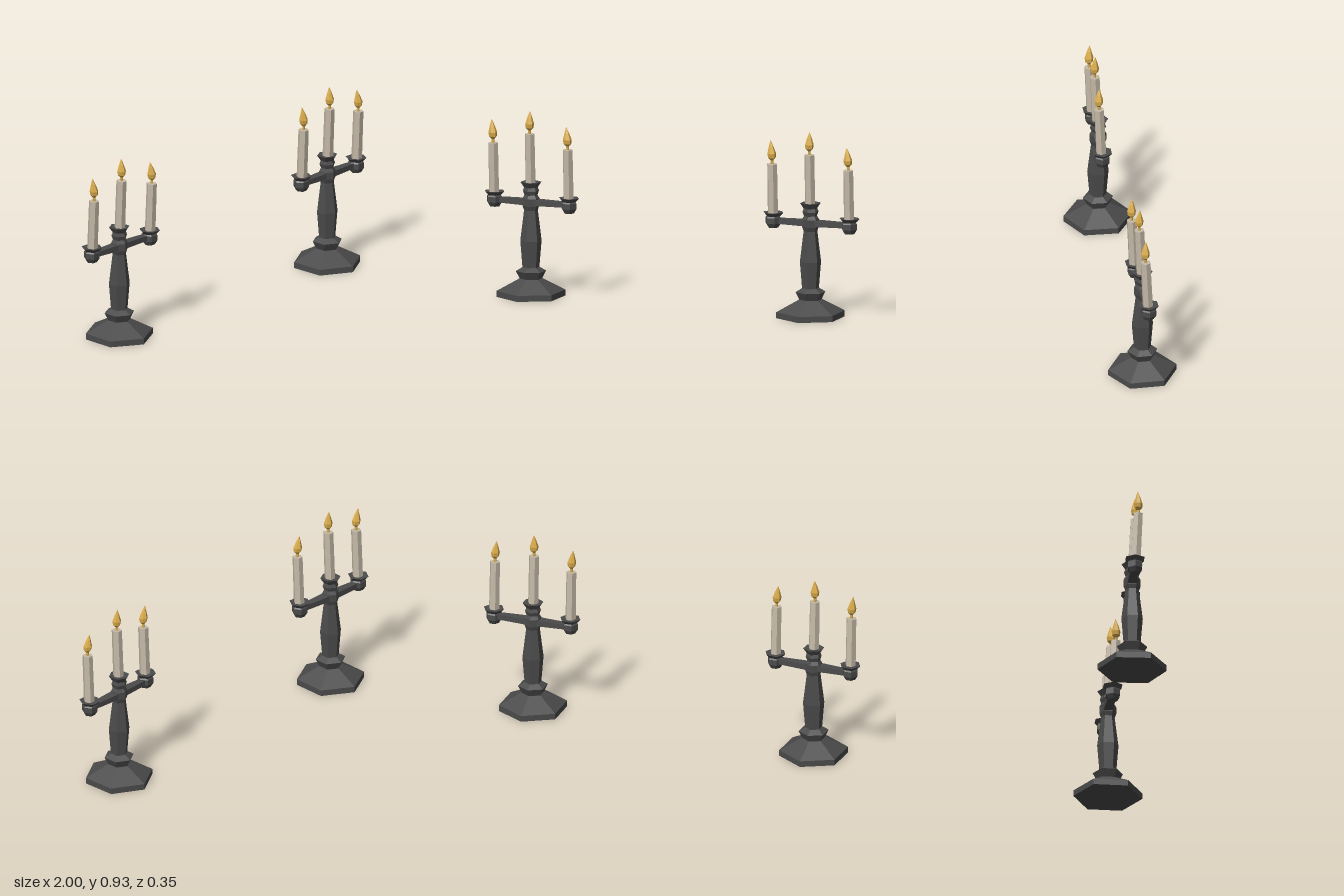
import * as THREE from 'three';

const iron = new THREE.MeshStandardMaterial({ color: 0x4b4b4b });
iron.name = 'dark iron';
const wax = new THREE.MeshStandardMaterial({ color: 0xc4b9a7 });
wax.name = 'candle wax';
const fire = new THREE.MeshStandardMaterial({ color: 0xdcae4c });
fire.name = 'flame gold';

// Faceted normals without sharing vertices
function facet(geometry) {
  const g = geometry.toNonIndexed();
  g.computeVertexNormals();
  return g;
}

// Six-sided turned part; corners point to z, or to x when turned
function turned(name, profile, material, turnedToX = false) {
  const pts = profile.map(([r, y]) => new THREE.Vector2(r, y));
  const g = new THREE.LatheGeometry(pts, 6, turnedToX ? Math.PI / 6 : 0);
  const mesh = new THREE.Mesh(facet(g), material);
  mesh.name = name;
  return mesh;
}

// Teardrop flame on a thin wick, its tip bent sideways
function flame(bend, height) {
  const pts = [[0, -0.005], [0.007, -0.005], [0.007, 0.018], [0.019, 0.03], [0.022, 0.05], [0.012, 0.082], [0, 0.113]]
    .map(([r, y]) => new THREE.Vector2(r, y * height / 0.113));
  const g = new THREE.LatheGeometry(pts, 6);
  const p = g.attributes.position;
  for (let i = 0; i < p.count; i++) {
    const t = Math.max(0, p.getY(i) / height);
    p.setX(i, p.getX(i) + bend * t * t);
    p.setZ(i, p.getZ(i) - 0.008 * t * t);
  }
  const mesh = new THREE.Mesh(facet(g), fire);
  mesh.name = 'flame';
  return mesh;
}

// Candle and flame standing at the origin, leaning slightly forward
function candle(height, bend, flameHeight) {
  const group = new THREE.Group();
  group.name = 'candle';
  const r = 0.027;
  group.add(turned('candleStick', [[0, 0], [r, 0], [r * 0.96, height], [0, height]], wax, true));
  const f = flame(bend, flameHeight);
  f.position.y = height;
  group.add(f);
  group.rotation.x = 0.045;
  return group;
}

// Arm from the hub to a side cup, narrowing outward
function arm(length) {
  const len = Math.abs(length);
  const g = new THREE.BoxGeometry(len, 0.03, 0.052);
  const p = g.attributes.position;
  for (let i = 0; i < p.count; i++) {
    const outer = p.getX(i) * Math.sign(length) > 0;
    if (outer) {
      p.setZ(i, p.getZ(i) * 0.6);
      p.setY(i, p.getY(i) * 0.85);
    }
  }
  const mesh = new THREE.Mesh(facet(g), iron);
  mesh.name = 'arm';
  mesh.position.set(length / 2, 0.473, 0);
  return mesh;
}

function candelabra() {
  const group = new THREE.Group();

  // Foot, knop, stem, hub and centre cup
  group.add(turned('foot', [[0, 0], [0.171, 0], [0.171, 0.03], [0.058, 0.09], [0, 0.09]], iron));
  group.add(turned('knop', [[0.055, 0.088], [0.075, 0.128], [0.043, 0.147], [0, 0.147]], iron));
  group.add(turned('stem', [[0.042, 0.145], [0.053, 0.28], [0.034, 0.435]], iron));
  group.add(turned('hub', [[0.034, 0.433], [0.042, 0.455], [0.042, 0.492], [0.032, 0.51], [0, 0.51]], iron));
  group.add(turned('centreCup', [[0.032, 0.508], [0.04, 0.53], [0.034, 0.547], [0.052, 0.574], [0, 0.568]], iron));
  const middle = candle(0.255, 0, 0.114);
  middle.position.set(0, 0.563, 0.004);
  group.add(middle);

  // Side arms, cups and candles
  for (const [x, lift, flameHeight] of [[-0.195, 0.003, 0.119], [0.207, -0.003, 0.113]]) {
    group.add(arm(x));
    const holder = new THREE.Group();
    holder.name = 'sideHolder';
    holder.add(turned('cup', [
      [0, 0.436], [0.026, 0.436], [0.04, 0.458], [0.04, 0.486], [0.035, 0.493], [0.053, 0.512], [0, 0.507],
    ], iron, true));
    const c = candle(0.257, -0.01, flameHeight);
    c.position.set(0, 0.5, 0.004);
    holder.add(c);
    holder.position.set(x, lift, 0.004);
    group.add(holder);
  }
  return group;
}

export function createModel() {
  const model = new THREE.Group();
  model.name = 'candelabraPair';
  for (const [name, x, z, turn] of [
    ['rightCandelabra', -0.752, -0.005, -0.03],
    ['leftCandelabra', 0.738, -0.001, 0.02],
  ]) {
    const c = candelabra();
    c.name = name;
    c.position.set(x, 0, z);
    c.rotation.y = turn;
    model.add(c);
  }
  return model;
}
